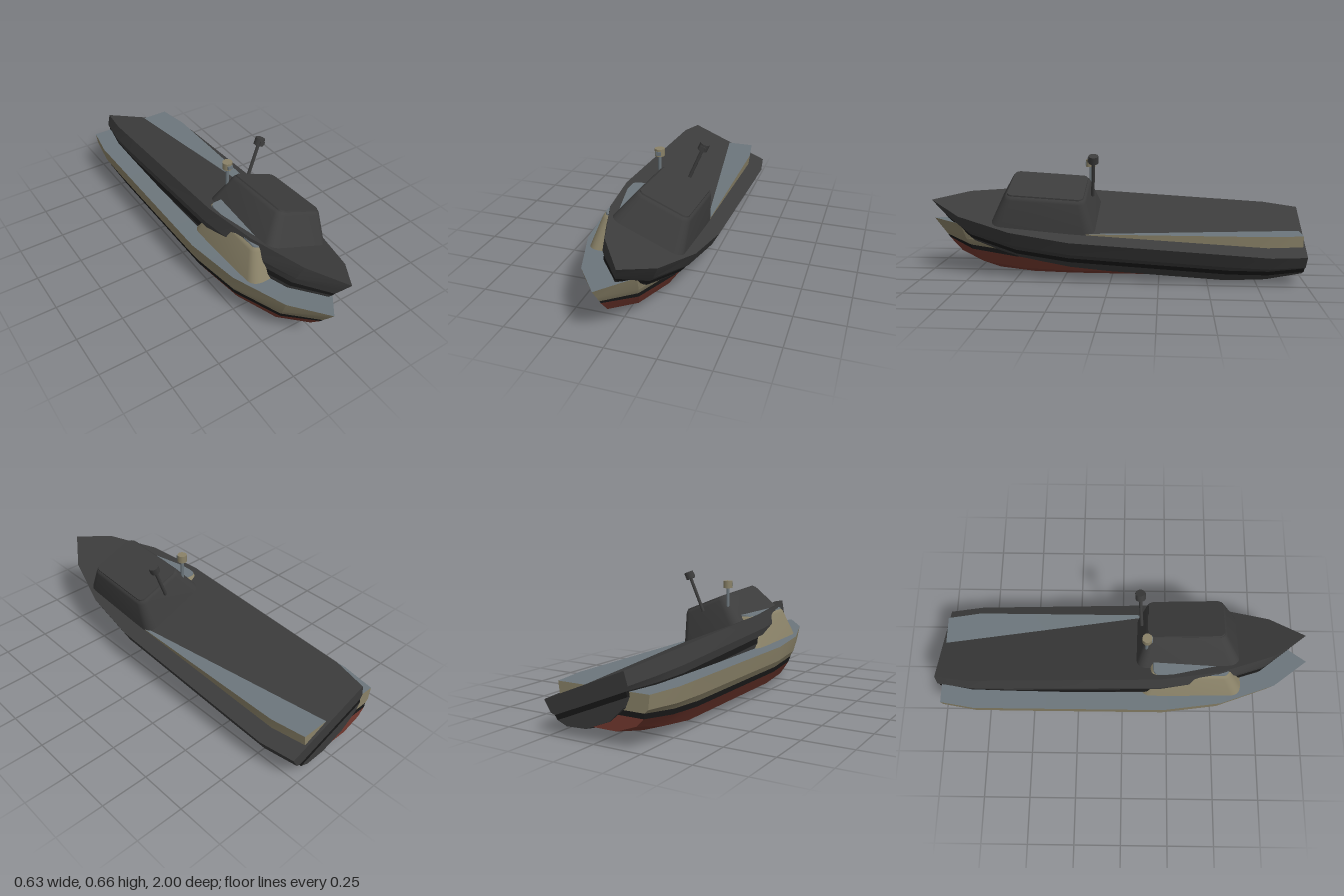
import * as THREE from 'three';
import { toCreasedNormals } from 'three/addons/utils/BufferGeometryUtils.js';

const mat = (name, color) => Object.assign(new THREE.MeshStandardMaterial({ color }), { name });

// Collects quads (a, b, c, d counter-clockwise from outside) into one geometry
function quadGeometry(quads, crease) {
  const pos = [];
  for (const [a, b, c, d] of quads) pos.push(...a, ...b, ...c, ...a, ...c, ...d);
  const g = new THREE.BufferGeometry();
  g.setAttribute('position', new THREE.Float32BufferAttribute(pos, 3));
  g.computeVertexNormals();
  return toCreasedNormals(g, crease);
}

// Hull levels from deck edge to keel: width ratio, height, stem z, stem height
const LEVELS = [
  [1, 0.255, 1.0, 0.282], [0.965, 0.175, 0.96, 0.23], [0.89, 0.14, 0.93, 0.192],
  [0.87, 0.112, 0.92, 0.176], [0.71, 0.042, 0.85, 0.1], [0.29, 0.002, 0.75, 0.05],
];
// Stations from stern to bow: z, half width, deck lift, lower lift, stern rise
const STATIONS = [
  [-0.98, 0.245, 0, 0, 0.07], [-0.8, 0.275, 0, 0, 0.028], [-0.6, 0.275, 0, 0, 0],
  [0.22, 0.275, 0, 0, 0], [0.53, 0.235, 0.28, 0.06, 0], [0.82, 0.135, 0.68, 0.35, 0],
  [1.0, 0, 1, 1, 0],
];
const RISE = [0, 0.2, 0.45, 0.5, 0.95, 1];

function hullPoint(i, j, side) {
  const [z, half, deckLift, lowLift, rise] = STATIONS[i];
  const [ratio, y, stemZ, stemY] = LEVELS[j];
  const lift = j === 0 ? deckLift : lowLift;
  return [
    side * half * ratio,
    y + lift * (stemY - y) + rise * RISE[j],
    z <= 0.22 ? z : 0.22 + (z - 0.22) * (stemZ - 0.22) / 0.78,
  ];
}

// Hull skin between two levels, with its part of the transom
function hullBand(from, to) {
  const quads = [];
  for (let j = from; j < to; j++) {
    for (let i = 0; i < STATIONS.length - 1; i++) {
      for (const s of [1, -1]) {
        const q = [hullPoint(i, j, s), hullPoint(i + 1, j, s),
          hullPoint(i + 1, j + 1, s), hullPoint(i, j + 1, s)];
        quads.push(s > 0 ? q : q.reverse());
      }
    }
    quads.push([hullPoint(0, j, 1), hullPoint(0, j + 1, 1),
      hullPoint(0, j + 1, -1), hullPoint(0, j, -1)]);
  }
  return quads;
}

// Flat strip joining both sides at one level
function crossStrip(j, up) {
  const quads = [];
  for (let i = 0; i < STATIONS.length - 1; i++) {
    const q = [hullPoint(i, j, 1), hullPoint(i, j, -1),
      hullPoint(i + 1, j, -1), hullPoint(i + 1, j, 1)];
    quads.push(up ? q : q.reverse());
  }
  return quads;
}

// Rounded rectangle ring at height y
function ring(y, half, z0, z1, r) {
  const pts = [];
  const corners = [[half - r, z1 - r], [r - half, z1 - r], [r - half, z0 + r], [half - r, z0 + r]];
  corners.forEach(([cx, cz], k) => {
    for (let n = 0; n <= 5; n++) {
      const a = (k + n / 5) * Math.PI / 2;
      pts.push([cx + r * Math.cos(a), y, cz + r * Math.sin(a)]);
    }
  });
  return pts;
}

// Skin through stacked rings, closed on top
function loft(rings, crease) {
  const quads = [];
  const n = rings[0].length;
  for (let k = 0; k < rings.length - 1; k++) {
    for (let i = 0; i < n; i++) {
      const m = (i + 1) % n;
      quads.push([rings[k][i], rings[k + 1][i], rings[k + 1][m], rings[k][m]]);
    }
  }
  const top = rings[rings.length - 1];
  for (let i = 0; i < n / 2 - 1; i++) {
    quads.push([top[i], top[n - 1 - i], top[n - 2 - i], top[i + 1]]);
  }
  return quadGeometry(quads, crease);
}

// One complete boat with its own set of colours
function buildBoat(name, c) {
  const boat = new THREE.Group();
  boat.name = name;
  const add = (part, geometry, material, x = 0, y = 0, z = 0) => {
    const mesh = new THREE.Mesh(geometry, material);
    mesh.name = part;
    mesh.position.set(x, y, z);
    boat.add(mesh);
  };
  // hull
  add('hullSides', quadGeometry(hullBand(0, 2), 0.3), c.hull);
  add('waterlineStripe', quadGeometry(hullBand(2, 3), 0.3), c.stripe);
  add('hullBottom', quadGeometry([...hullBand(3, 5), ...crossStrip(5, false)], 0.3), c.bottom);
  add('deck', quadGeometry(crossStrip(0, true), 0.3), c.deck);
  // cabin
  add('cabin', loft([
    ring(0.24, 0.2, 0.09, 0.65, 0.055),
    ring(0.4, 0.146, 0.148, 0.572, 0.04),
    ring(0.412, 0.139, 0.154, 0.566, 0.035),
    ring(0.417, 0.132, 0.16, 0.56, 0.03),
  ], 0.6), c.hull);
  add('roof', loft([
    ring(0.416, 0.131, 0.161, 0.559, 0.03),
    ring(0.424, 0.129, 0.163, 0.557, 0.03),
  ], 0.6), c.deck);
  // mast with lamp
  add('mast', new THREE.CylinderGeometry(0.009, 0.009, 0.2, 10), c.deck, 0, 0.48, 0.125);
  add('lampHead', new THREE.CylinderGeometry(0.026, 0.026, 0.039, 10), c.hull, 0, 0.5935, 0.125);
  add('lampLens', new THREE.BoxGeometry(0.028, 0.02, 0.006), c.deck, 0, 0.592, 0.151);
  return boat;
}

export function createModel() {
  const tan = mat('tan paint', 0x8a8268);
  const grey = mat('blue grey deck', 0x6c767c);
  const red = mat('red bottom paint', 0x74392f);
  const black = mat('black stripe', 0x191919);
  const charcoal = mat('charcoal', 0x3c3c3c);

  const model = new THREE.Group();
  model.name = 'boats';

  // upright painted boat
  const painted = buildBoat('paintedBoat', { hull: tan, deck: grey, bottom: red, stripe: black });
  painted.position.set(-0.04, 0, 0);

  // listing dark boat overlapping the first
  const wreck = buildBoat('listingBoat',
    { hull: charcoal, deck: charcoal, bottom: charcoal, stripe: black });
  wreck.position.set(-0.04, 0.078, -0.003);
  wreck.rotation.set(-0.061, 0, -0.385);

  model.add(painted, wreck);
  return model;
}
